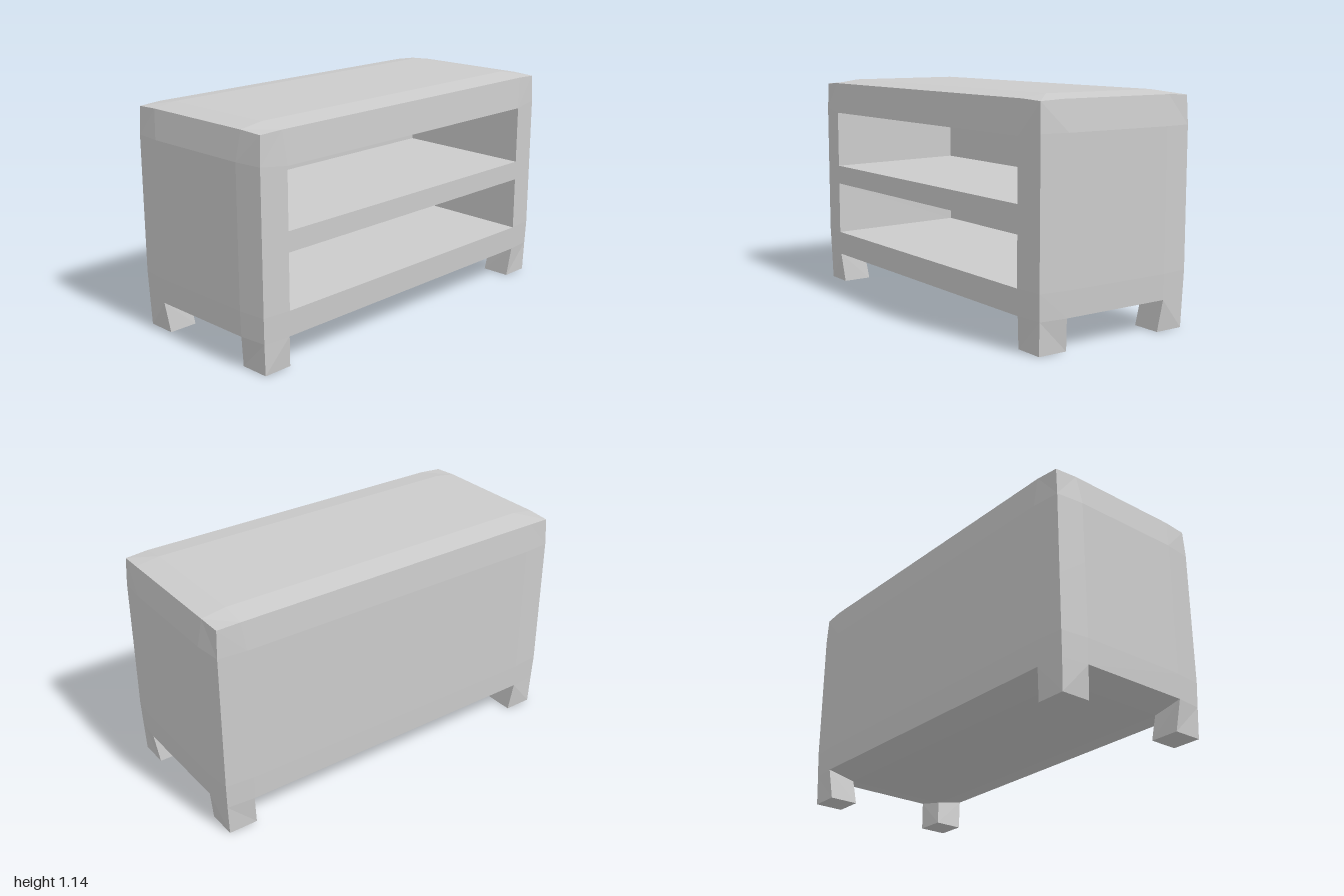
import * as THREE from 'three';

const material = new THREE.MeshStandardMaterial({ color: 0xcccccc, flatShading: true });
const ROWS = [0, 0.157, 0.283, 0.56, 0.66, 0.975, 1.138];
const TOP = 6;

// Cage point: i and k run 0..3 across x and z, j runs up the rows.
// Faces bulge slightly, so edges and corners are pulled inward.
function cage(i, j, k) {
  const sx = i < 2 ? -1 : 1, sz = k < 2 ? -1 : 1;
  const ex = i % 3 === 0, ez = k % 3 === 0, ey = j === TOP;
  if (j === 0) return new THREE.Vector3(sx * (ex ? 0.975 : 0.825), 0, sz * (ez ? 0.427 : 0.275));
  const lean = j === 1 ? 0.004 : 0;
  let x = ex ? 1 - lean : 0.84, y = ROWS[j], z = ez ? 0.447 - lean : 0.29;
  if (ey) {
    y -= ex && ez ? 0.024 : ex || ez ? 0.018 : 0;
    x += ex ? -0.017 : 0.02;
    z += ez ? -0.01 : 0.02;
  }
  if (ex && ez) { x -= ey ? 0.005 : 0.015; z -= ey ? 0.007 : 0.013; }
  if (j === 5 && k === 3 && !ex) y = 0.957; // upper rim of the top opening
  return new THREE.Vector3(x * sx, y, z * sz);
}

// Collects quads, each turned to face the given direction, into one named mesh.
function quadMesh(name, quads) {
  const pos = [];
  for (const [a, b, c, d, dir] of quads) {
    const n = c.clone().sub(a).cross(d.clone().sub(b));
    const [p, q, r, s] = n.dot(new THREE.Vector3(...dir)) < 0 ? [a, d, c, b] : [a, b, c, d];
    for (const v of [p, q, r, p, r, s]) pos.push(v.x, v.y, v.z);
  }
  const geometry = new THREE.BufferGeometry();
  geometry.setAttribute('position', new THREE.Float32BufferAttribute(pos, 3));
  geometry.computeVertexNormals();
  const mesh = new THREE.Mesh(geometry, material);
  mesh.name = name;
  return mesh;
}

const xWall = (i, j, k) => [cage(i, j, k), cage(i, j, k + 1), cage(i, j + 1, k + 1), cage(i, j + 1, k), [i ? 1 : -1, 0, 0]];
const zWall = (i, j, k) => [cage(i, j, k), cage(i + 1, j, k), cage(i + 1, j + 1, k), cage(i, j + 1, k), [0, 0, k ? 1 : -1]];
const under = (sx, sz) => new THREE.Vector3(sx * 0.84, 0.125, sz * 0.29);

// Open compartment behind the front, narrowing slightly towards its back
function compartment(name, j) {
  const rim = [cage(1, j, 3), cage(2, j, 3), cage(2, j + 1, 3), cage(1, j + 1, 3)];
  const back = rim.map((v, n) => new THREE.Vector3(v.x - Math.sign(v.x) * 0.012, v.y + (n < 2 ? 0.01 : -0.01), -0.29));
  const dirs = [[0, 1, 0], [-1, 0, 0], [0, -1, 0], [1, 0, 0]];
  const quads = dirs.map((dir, n) => [rim[n], rim[(n + 1) % 4], back[(n + 1) % 4], back[n], dir]);
  quads.push([...back, [0, 0, 1]]);
  return quadMesh(name, quads);
}

function leg(name, sx, sz) {
  const io = sx > 0 ? 3 : 0, ii = sx > 0 ? 2 : 1, ko = sz > 0 ? 3 : 0, ki = sz > 0 ? 2 : 1;
  const B = under(sx, sz);
  return quadMesh(name, [
    xWall(io, 0, Math.min(ko, ki)),
    zWall(Math.min(io, ii), 0, ko),
    [cage(ii, 1, ko), cage(ii, 0, ko), cage(ii, 0, ki), B, [-sx, 0, 0]],
    [cage(io, 1, ki), cage(io, 0, ki), cage(ii, 0, ki), B, [0, 0, -sz]],
    [cage(io, 0, ko), cage(ii, 0, ko), cage(ii, 0, ki), cage(io, 0, ki), [0, -1, 0]],
  ]);
}

export function createModel() {
  const group = new THREE.Group();
  group.name = 'cabinet';

  // Outer walls, leaving the two front openings free
  const ends = [], front = [], back = [], top = [];
  for (let n = 0; n < 3; n++) {
    for (let j = 1; j < TOP; j++) {
      ends.push(xWall(0, j, n), xWall(3, j, n));
      back.push(zWall(n, j, 0));
      if (n !== 1 || (j !== 2 && j !== 4)) front.push(zWall(n, j, 3));
    }
    for (let k = 0; k < 3; k++) {
      top.push([cage(n, TOP, k), cage(n + 1, TOP, k), cage(n + 1, TOP, k + 1), cage(n, TOP, k + 1), [0, 1, 0]]);
    }
  }
  group.add(quadMesh('sidePanels', ends), quadMesh('frontFrame', front), quadMesh('backPanel', back), quadMesh('topPanel', top));
  group.add(compartment('lowerCompartment', 2), compartment('upperCompartment', 4));

  // Underside: flat centre with strips sloping up to the walls
  const down = [0, -1, 0];
  const bottom = [[under(-1, -1), under(1, -1), under(1, 1), under(-1, 1), down]];
  for (const s of [-1, 1]) {
    const e = s > 0 ? 3 : 0;
    bottom.push([cage(1, 1, e), cage(2, 1, e), under(1, s), under(-1, s), down]);
    bottom.push([cage(e, 1, 1), cage(e, 1, 2), under(s, 1), under(s, -1), down]);
  }
  group.add(quadMesh('underside', bottom));

  for (const sx of [-1, 1]) for (const sz of [-1, 1]) {
    group.add(leg((sz > 0 ? 'front' : 'back') + (sx > 0 ? 'Left' : 'Right') + 'Leg', sx, sz));
  }
  return group;
}
